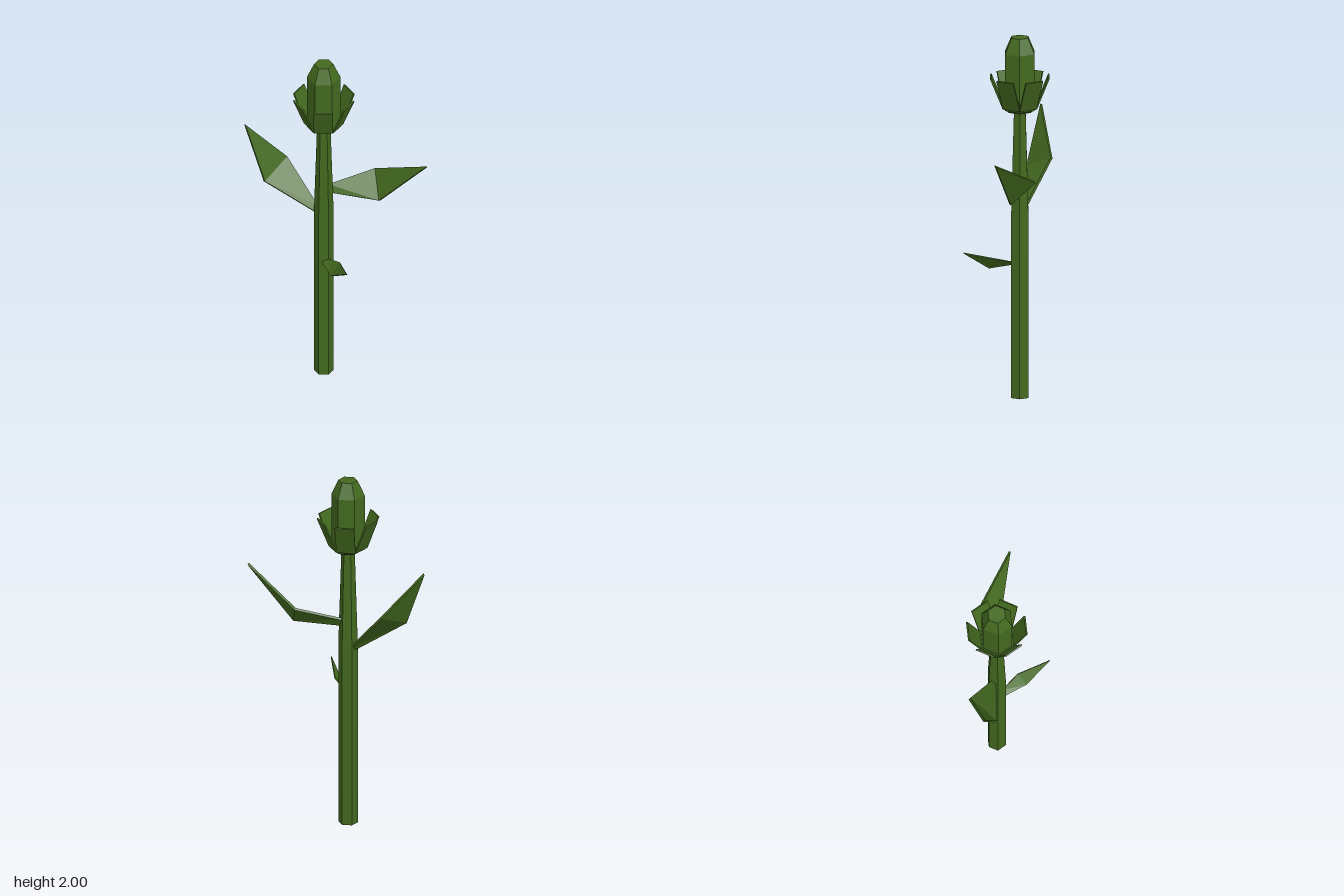
import * as THREE from 'three';

const green = new THREE.MeshStandardMaterial({ color: 0x43691f, flatShading: true });

function addMesh(parent, name, geometry) {
  const mesh = new THREE.Mesh(geometry, green);
  mesh.name = name;
  parent.add(mesh);
  return mesh;
}

// Six-sided turned solid; profile is [radius, height] from bottom to top
function hexSolid(profile) {
  const points = profile.map(([r, y]) => new THREE.Vector2(r, y));
  return new THREE.LatheGeometry(points, 6, Math.PI / 6).toNonIndexed();
}

// Thin solid plate: an outline split into triangles, thickened along its mean normal
function plate(outline, triangles, thickness) {
  const pts = outline.map((p) => new THREE.Vector3(...p));
  const normal = new THREE.Vector3();
  pts.forEach((p, i) => normal.add(p.clone().cross(pts[(i + 1) % pts.length])));
  normal.setLength(thickness / 2);
  const top = pts.map((p) => p.clone().add(normal));
  const bottom = pts.map((p) => p.clone().sub(normal));
  const corners = [];
  for (const [a, b, c] of triangles) {
    corners.push(top[a], top[b], top[c], bottom[a], bottom[c], bottom[b]);
  }
  for (let i = 0; i < pts.length; i++) {
    const j = (i + 1) % pts.length;
    corners.push(bottom[i], bottom[j], top[j], bottom[i], top[j], top[i]);
  }
  const geometry = new THREE.BufferGeometry().setFromPoints(corners);
  geometry.computeVertexNormals();
  return geometry;
}

export function createModel() {
  const model = new THREE.Group();
  model.name = 'flowerBud';

  // Everything turned shares the stem's axis
  const stalk = new THREE.Group();
  stalk.name = 'stalk';
  stalk.position.set(-0.067, 0, -0.066);
  model.add(stalk);

  addMesh(stalk, 'stem', hexSolid([[0, 0], [0.053, 0], [0.053, 1.04], [0.036, 1.6], [0, 1.6]]));
  addMesh(stalk, 'budBase', hexSolid([[0, 1.587], [0.068, 1.587], [0.101, 1.618], [0, 1.618]]));
  addMesh(stalk, 'bud', hexSolid([[0, 1.6], [0.091, 1.6], [0.091, 1.915], [0.052, 2], [0, 2]]));

  // Ring of six flaring sepals, one per side of the bud
  const sepal = plate(
    [[-0.052, 1.612, 0.088], [0.052, 1.612, 0.088], [0.053, 1.783, 0.157], [-0.053, 1.783, 0.157]],
    [[0, 1, 2], [0, 2, 3]], 0.009);
  for (let i = 0; i < 6; i++) {
    addMesh(stalk, 'sepal', sepal).rotation.y = i * Math.PI / 3;
  }

  // Folded leaves: two base corners, one side, tip, other side
  const leaves = {
    leftLeaf: [[-0.04, 1.195, -0.093], [-0.04, 1.155, -0.075], [0.233, 1.145, -0.015],
      [0.492, 1.425, 0.065], [0.21, 1.265, -0.148]],
    rightLeaf: [[-0.1, 1.05, -0.1], [-0.1, 1.015, -0.078], [-0.388, 1.203, -0.105],
      [-0.494, 1.52, -0.18], [-0.27, 1.277, -0.236]],
    smallLeaf: [[-0.05, 0.752, -0.035], [-0.08, 0.735, -0.03], [-0.022, 0.728, 0.1],
      [0.063, 0.832, 0.236], [0.02, 0.787, 0.055]],
  };
  for (const [name, outline] of Object.entries(leaves)) {
    const thickness = name === 'smallLeaf' ? 0.007 : 0.014;
    addMesh(model, name, plate(outline, [[0, 1, 2], [0, 2, 4], [2, 3, 4]], thickness));
  }
  return model;
}
